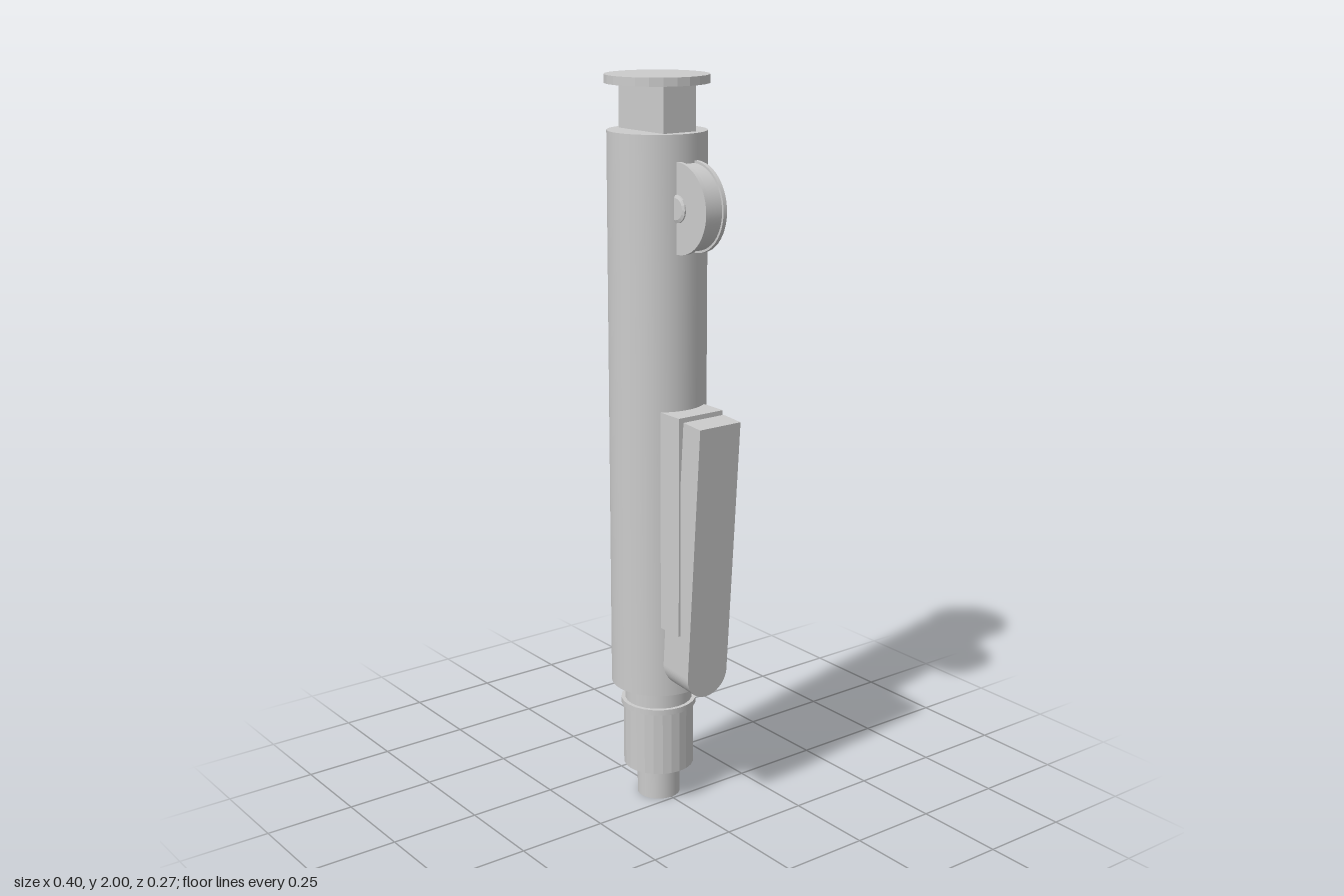
import * as THREE from 'three';

const AXIS = -0.068; // x of the barrel's centre line

export function createModel() {
  const model = new THREE.Group();
  const smooth = new THREE.MeshStandardMaterial({ color: 0xcccccc });
  const flat = new THREE.MeshStandardMaterial({ color: 0xcccccc, flatShading: true });

  const add = (name, geometry, material, parent = model) => {
    const mesh = new THREE.Mesh(geometry, material);
    mesh.name = name;
    parent.add(mesh);
    return mesh;
  };

  // Upright cylinder on the barrel axis, from y0 to y1
  const tube = (name, radius, y0, y1, sides = 24, material = smooth) =>
    add(name, new THREE.CylinderGeometry(radius, radius, y1 - y0, sides), material)
      .position.set(AXIS, (y0 + y1) / 2, 0);

  // Box given by its x, y and z limits
  const block = (name, x0, x1, y0, y1, halfZ) =>
    add(name, new THREE.BoxGeometry(x1 - x0, y1 - y0, halfZ * 2), flat)
      .position.set((x0 + x1) / 2, (y0 + y1) / 2, 0);

  // Barrel and stepped tip
  tube('tip', 0.06, 0, 0.1);
  tube('grip', 0.098, 0.095, 0.28, 24, flat);
  tube('gripRing', 0.104, 0.275, 0.291);
  tube('neck', 0.093, 0.285, 0.35);
  tube('barrel', 0.13, 0.345, 1.86, 48);

  // Plunger
  block('plungerStem', -0.165, 0.028, 1.84, 1.985, 0.051);
  tube('plungerCap', 0.136, 1.978, 2, 24, flat);

  // Thumb wheel with a shallow groove, turned about z
  const wheel = new THREE.Group();
  wheel.name = 'thumbWheel';
  wheel.position.set(0.061, 1.675, 0);
  model.add(wheel);
  const rim = [[0, -0.033], [0.117, -0.033], [0.117, -0.022], [0.111, -0.022],
    [0.111, 0.022], [0.117, 0.022], [0.117, 0.033], [0, 0.033]];
  // Each profile segment is its own lathe, so edges stay sharp
  for (let i = 0; i < rim.length - 1; i++) {
    const points = [rim[i], rim[i + 1]].map(([r, h]) => new THREE.Vector2(r, h));
    add('wheelSurface', new THREE.LatheGeometry(points, 48).rotateX(Math.PI / 2), smooth, wheel);
  }
  const axle = [[0, -0.04], [0.028, -0.04], [0.036, -0.037], [0.036, 0.037], [0.028, 0.04], [0, 0.04]]
    .map(([r, h]) => new THREE.Vector2(r, h));
  add('wheelAxle', new THREE.LatheGeometry(axle, 16).rotateX(Math.PI / 2), flat, wheel);

  // Clip: a straight mount on the barrel and a tilted arm with a rounded lower end
  block('clipMount', 0.03, 0.119, 0.545, 1.146, 0.072);
  const clip = new THREE.Group();
  clip.name = 'clip';
  clip.position.set(0.147, 0.364, 0);
  clip.rotation.z = -0.069;
  model.add(clip);
  const w = 0.066;
  const slab = (name, height, outer, inner) => {
    const shape = new THREE.Shape();
    shape.moveTo(w, w);
    shape.lineTo(w, height);
    shape.lineTo(-w, height);
    shape.lineTo(-w, w);
    shape.absarc(0, w, w, Math.PI, Math.PI * 2, false);
    const geometry = new THREE.ExtrudeGeometry(shape, {
      depth: outer - inner, bevelEnabled: false, curveSegments: 24,
    });
    geometry.rotateY(-Math.PI / 2).translate(outer, 0, 0);
    add(name, geometry, smooth, clip);
  };
  slab('clipArm', 0.77, 0, -0.07);
  slab('clipFoot', 0.4, -0.07, -0.108);

  return model;
}
